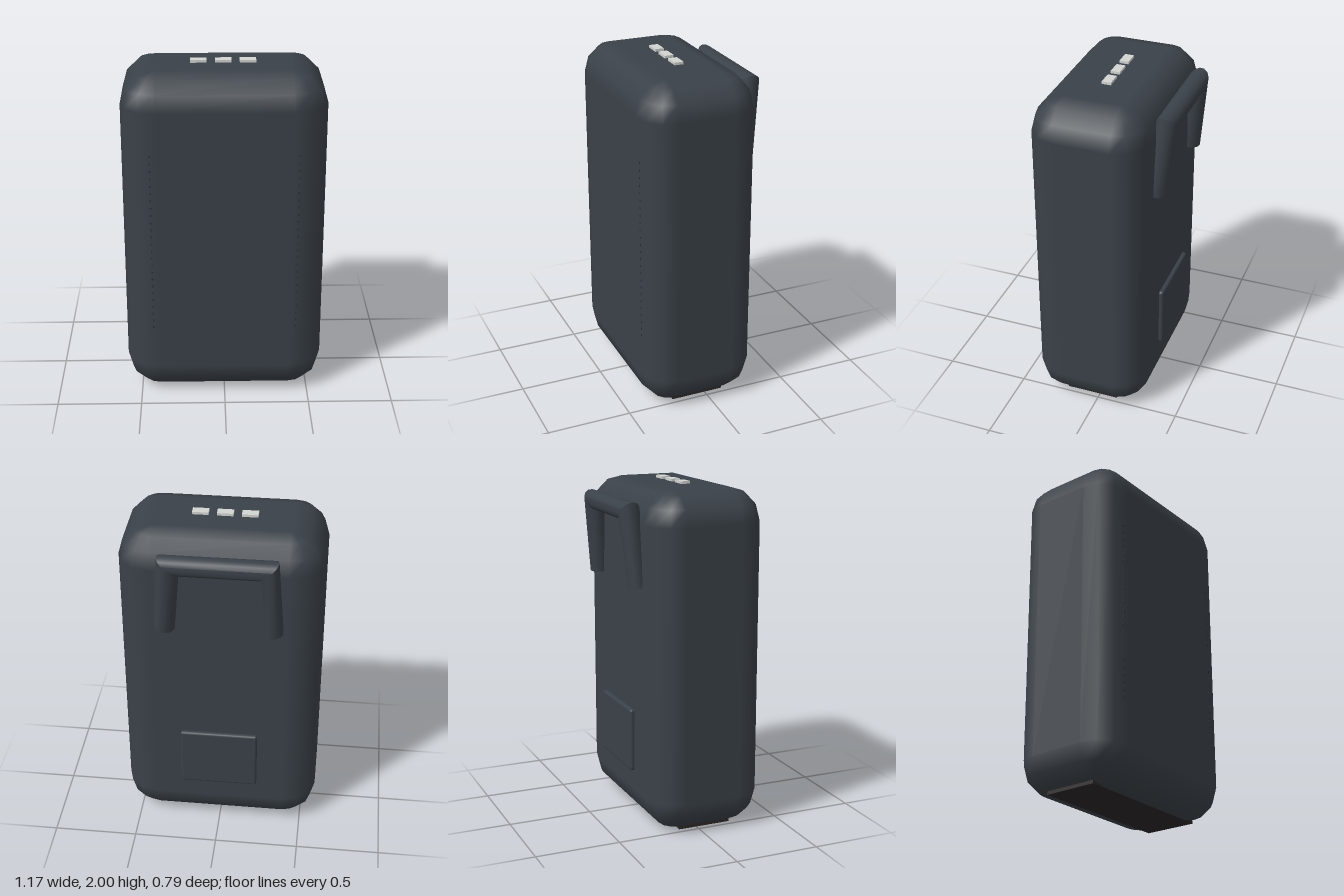
import * as THREE from 'three';
import { toCreasedNormals } from 'three/addons/utils/BufferGeometryUtils.js';
import { RoundedBoxGeometry } from 'three/addons/geometries/RoundedBoxGeometry.js';

const mat = (name, color) => new THREE.MeshStandardMaterial({ name, color });

// Box with broad three-step bevels: a grid wrapped round like a globe whose octants are pulled apart
function bevelledBox(w, h, d, rx, ry, rz) {
  const geo = new THREE.PlaneGeometry(1, 1, 16, 9);
  const pos = geo.attributes.position, nor = geo.attributes.normal;
  const n = new THREE.Vector3();
  for (let row = 0; row <= 9; row++) {
    const upper = row < 5;
    const step = THREE.MathUtils.clamp(upper ? row - 1 : row - 2, 0, 6);
    const polar = step * Math.PI / 6;
    const centre = row === 0 || row === 9;
    for (let col = 0; col <= 16; col++) {
      const c = col % 16, quad = Math.floor(c / 4);
      const a = (quad * 3 + c % 4) * Math.PI / 6;
      const sx = quad < 2 ? 1 : -1;
      const sz = quad === 0 || quad === 3 ? 1 : -1;
      n.set(Math.sin(polar) * Math.sin(a), Math.cos(polar), Math.sin(polar) * Math.cos(a));
      const i = row * 17 + col;
      pos.setXYZ(i,
        centre ? 0 : sx * (w / 2 - rx) + n.x * rx,
        (upper ? 1 : -1) * (h / 2 - ry) + n.y * ry,
        centre ? 0 : sz * (d / 2 - rz) + n.z * rz);
      n.set(n.x / rx, n.y / ry, n.z / rz).normalize();
      nor.setXYZ(i, n.x, n.y, n.z);
    }
  }
  return geo;
}

// Round bar bent along flat path points, with mitred corners
function mitredBar(path, miters, r) {
  const last = path.length - 1;
  const geo = new THREE.CylinderGeometry(r, r, 1, 14, last);
  const pos = geo.attributes.position;
  for (let i = 0; i < pos.count; i++) {
    const k = Math.round((0.5 - pos.getY(i)) * last);
    const x = pos.getX(i);
    pos.setXY(i, path[k][0] + miters[k][0] * x, path[k][1] + miters[k][1] * x);
  }
  return toCreasedNormals(geo, 0.7);
}

export function createModel() {
  const group = new THREE.Group();
  const charcoal = mat('charcoal', 0x3a4148);
  const navy = mat('dark navy', 0x25313d);
  const brown = mat('dark brown', 0x2b2726);
  const silver = mat('light grey', 0xd2d4d1);

  const add = (name, geo, material, x, y, z) => {
    const mesh = new THREE.Mesh(geo, material);
    mesh.name = name;
    mesh.position.set(x, y, z);
    group.add(mesh);
    return mesh;
  };

  // Main case
  add('body', bevelledBox(1.17, 1.982, 0.69, 0.2, 0.192, 0.177), charcoal, 0, 0.994, 0.05);

  // Base plate, ends just past the bottom bevels
  add('basePlate', new THREE.BoxGeometry(0.93, 0.02, 0.32), brown, 0, 0.01, 0.05);

  // Three indicator tabs on top
  for (const x of [-0.142, -0.002, 0.138]) {
    add('indicatorTab', new THREE.BoxGeometry(0.093, 0.02, 0.054), silver, x, 1.99, 0.048);
  }

  // Rear carry handle, leaning away from the case
  const handle = mitredBar(
    [[-0.308, -0.43], [-0.275, 0], [0.275, 0], [0.308, -0.43]],
    [[-1, 0.08], [-1, 0.93], [1, 0.93], [1, 0.08]], 0.06);
  add('handle', handle, charcoal, 0, 1.86, -0.338).rotation.x = -0.1;

  // Rear pad
  add('rearPad', new RoundedBoxGeometry(0.46, 0.375, 0.06, 2, 0.014), charcoal, 0, 0.502, -0.29);

  // Rows of small vent dots near the front edges
  for (const x of [-0.42, 0.42]) {
    for (let i = 0; i < 25; i++) {
      add('ventDot', new THREE.BoxGeometry(0.009, 0.012, 0.01), navy, x, 0.46 + i * 0.045, 0.383);
    }
  }

  return group;
}
